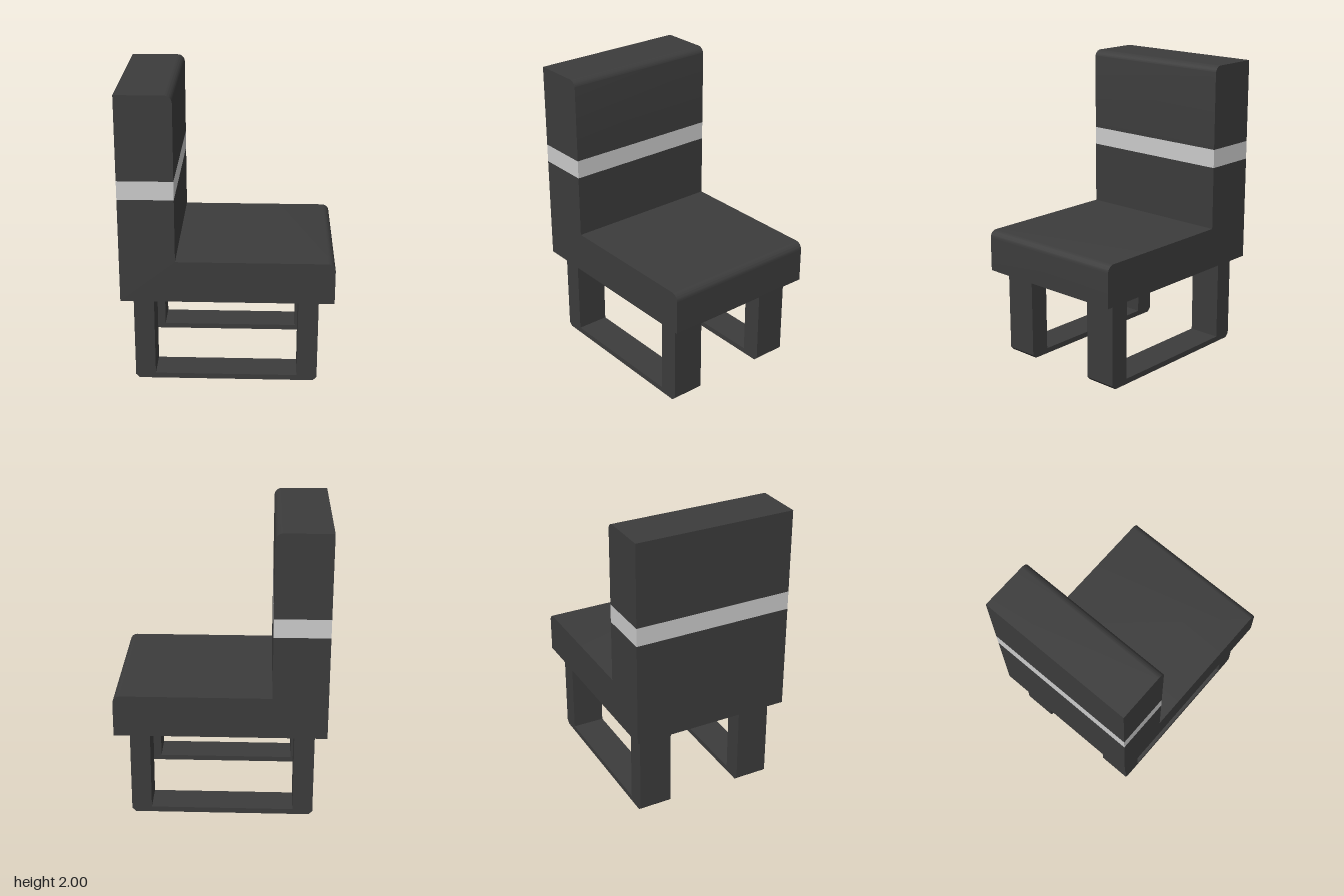
import * as THREE from 'three';
import { toCreasedNormals } from 'three/addons/utils/BufferGeometryUtils.js';

const dark = new THREE.MeshStandardMaterial({ color: 0x3c3c3c });
const light = new THREE.MeshStandardMaterial({ color: 0xcccccc });

const BACK = -0.703, FRONT = 0.703, REST = -0.338; // x limits of seat and backrest
const SEAT_BOTTOM = 0.605, SEAT_TOP = 0.888;
const BAND_BOTTOM = 1.315, BAND_TOP = 1.44;
const WIDTH = 1.087, ROUND = 0.05;

// Extrudes a side profile along z, centred on the given z
function extrude(name, shape, depth, z, material) {
  const geometry = new THREE.ExtrudeGeometry(shape, { depth, bevelEnabled: false, curveSegments: 8 });
  geometry.translate(0, 0, z - depth / 2);
  const mesh = new THREE.Mesh(toCreasedNormals(geometry, 0.6), material);
  mesh.name = name;
  return mesh;
}

// Vertical side at x, finished with a rounded upper edge
function roundedTop(shape, x, bottom, top) {
  shape.lineTo(x, bottom);
  shape.lineTo(x, top - ROUND);
  shape.absarc(x - ROUND, top - ROUND, ROUND, 0, Math.PI / 2, false);
}

export function createModel() {
  const chair = new THREE.Group();
  chair.name = 'chair';

  // L-shaped seat with the lower backrest
  const seat = new THREE.Shape();
  seat.moveTo(BACK, SEAT_BOTTOM);
  roundedTop(seat, FRONT, SEAT_BOTTOM, SEAT_TOP);
  seat.lineTo(REST, SEAT_TOP);
  seat.lineTo(REST, BAND_BOTTOM);
  seat.lineTo(BACK, BAND_BOTTOM);
  chair.add(extrude('seatAndLowerBackrest', seat, WIDTH, 0, dark));

  // Upper backrest
  const upper = new THREE.Shape();
  upper.moveTo(BACK, BAND_TOP);
  roundedTop(upper, REST, BAND_TOP, 2);
  upper.lineTo(BACK, 2);
  chair.add(extrude('upperBackrest', upper, WIDTH, 0, dark));

  // Pale band around the backrest
  const band = new THREE.Mesh(new THREE.BoxGeometry(REST - BACK, BAND_TOP - BAND_BOTTOM, WIDTH), light);
  band.name = 'backrestBand';
  band.position.set((BACK + REST) / 2, (BAND_BOTTOM + BAND_TOP) / 2, 0);
  chair.add(band);

  // U-shaped runner legs with chamfered lower corners
  const c = 0.025;
  const leg = new THREE.Shape([
    [-0.623, SEAT_BOTTOM], [-0.623, c], [-0.623 + c, 0], [0.603 - c, 0], [0.603, c], [0.603, SEAT_BOTTOM],
    [0.469, SEAT_BOTTOM], [0.469, 0.037], [-0.488, 0.037], [-0.488, SEAT_BOTTOM],
  ].map(([x, y]) => new THREE.Vector2(x, y)));
  chair.add(extrude('frontLegFrame', leg, 0.225, 0.368, dark));
  chair.add(extrude('rearLegFrame', leg, 0.225, -0.376, dark));

  return chair;
}
